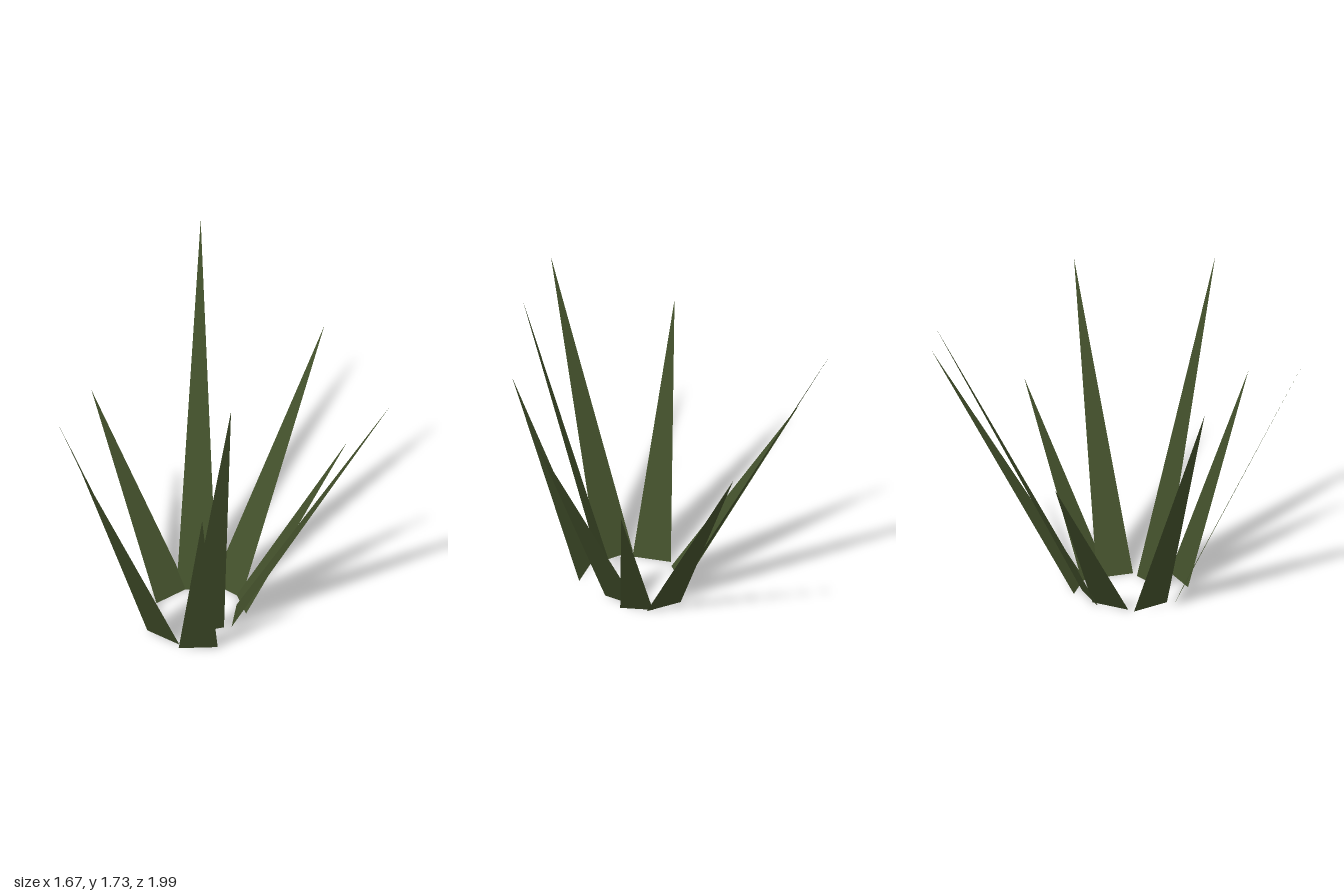
import * as THREE from 'three';

// Each leaf: base corner A (x, z), base corner B (x, z), tip (x, y, z)
const LEAVES = [
  { name: 'backLeaf', a: [-0.11, -0.205], b: [0.085, -0.22], tip: [-0.09, 1.25, -0.995] },
  { name: 'backLeftLeaf', a: [0.05, -0.22], b: [0.2, -0.14], tip: [0.405, 0.93, -0.67] },
  { name: 'leftLeaf', a: [0.11, -0.16], b: [0.23, -0.005], tip: [0.835, 1.44, -0.555] },
  { name: 'frontLeftTallLeaf', a: [0.205, 0.025], b: [0.11, 0.205], tip: [0.56, 1.72, 0.325] },
  { name: 'frontLeftShortLeaf', a: [0.305, 0.17], b: [0.17, 0.32], tip: [0.54, 1.105, 0.515] },
  { name: 'frontLeaf', a: [0.15, 0.295], b: [-0.055, 0.325], tip: [0.135, 1.46, 0.995] },
  { name: 'frontRightLeaf', a: [-0.035, 0.28], b: [-0.2, 0.16], tip: [-0.405, 1.29, 0.625] },
  { name: 'rightLeaf', a: [-0.19, 0.125], b: [-0.17, -0.08], tip: [-0.835, 0.945, -0.04] },
  { name: 'backRightLeaf', a: [-0.205, -0.035], b: [-0.055, -0.18], tip: [-0.738, 1.725, -0.738] },
];

// A leaf is one flat, pointed triangle
function leafGeometry({ a, b, tip }) {
  const geometry = new THREE.BufferGeometry();
  const corners = [a[0], 0, a[1], b[0], 0, b[1], ...tip];
  geometry.setAttribute('position', new THREE.Float32BufferAttribute(corners, 3));
  geometry.computeVertexNormals();
  return geometry;
}

export function createModel() {
  const plant = new THREE.Group();
  plant.name = 'spikyPlant';
  const leafGreen = new THREE.MeshStandardMaterial({ color: 0x414e2a, side: THREE.DoubleSide });
  leafGreen.name = 'leafGreen';

  // Ring of leaves splaying outward from an open centre
  for (const leaf of LEAVES) {
    const mesh = new THREE.Mesh(leafGeometry(leaf), leafGreen);
    mesh.name = leaf.name;
    plant.add(mesh);
  }
  return plant;
}
